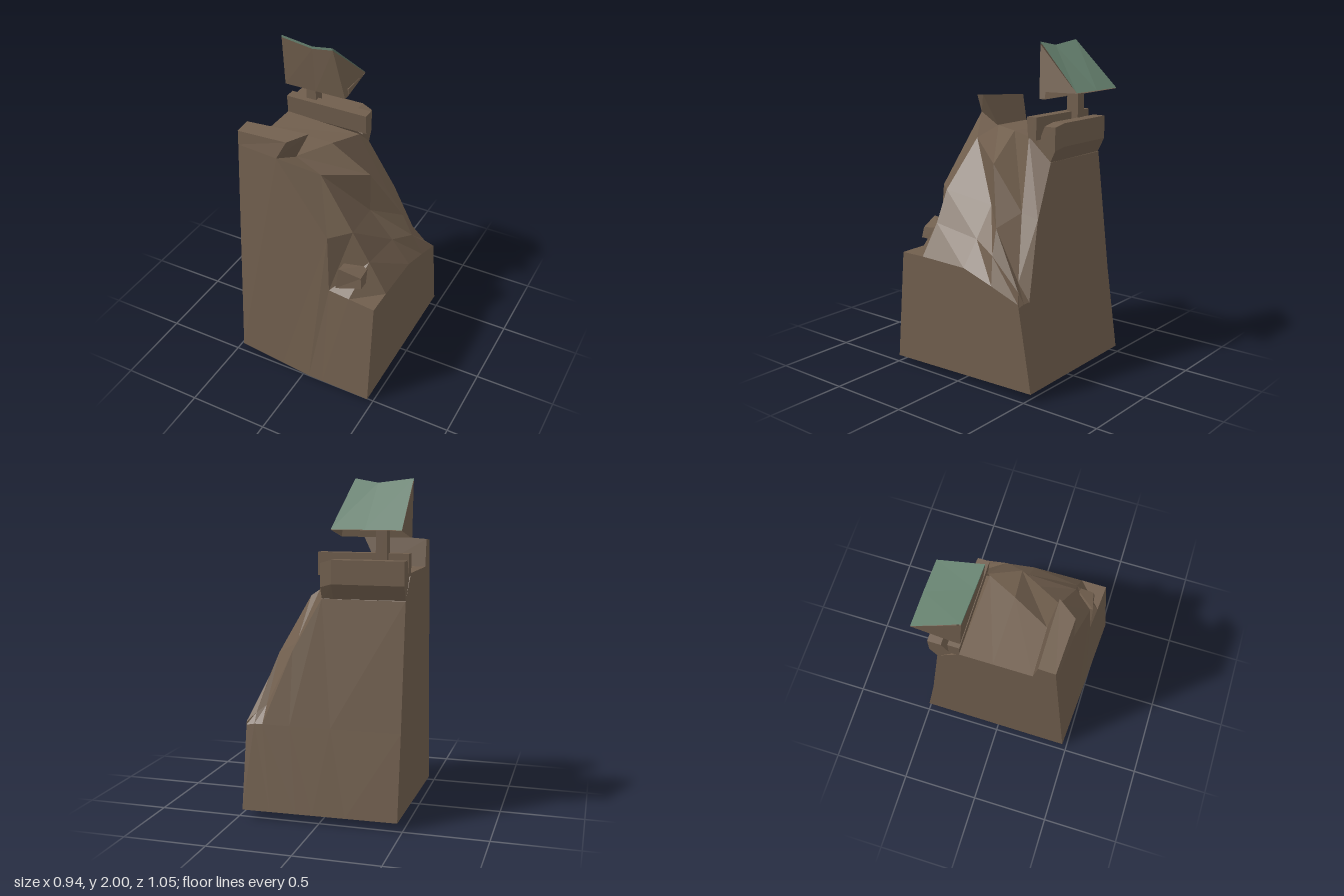
import * as THREE from 'three';

const rock = new THREE.MeshStandardMaterial({ color: 0x705e4d, flatShading: true, side: THREE.DoubleSide });
rock.name = 'rock brown';
const slate = new THREE.MeshStandardMaterial({ color: 0x66816f, flatShading: true, side: THREE.DoubleSide });
slate.name = 'roof green';

// Skins a row of cross-sections running from -x to +x.
// Each section lists its points from the front, over the top, to the back.
function loft(name, sections, material, { closed = false, caps = true } = {}) {
  const n = sections[0].length;
  const index = [];
  const last = (sections.length - 1) * n;
  for (let i = 0; i < sections.length - 1; i++) {
    for (let j = 0; j < (closed ? n : n - 1); j++) {
      const k = (j + 1) % n;
      const a = i * n + j, b = a + n, c = (i + 1) * n + k, d = i * n + k;
      index.push(a, b, c, a, c, d);
    }
  }
  if (caps) {
    for (let k = 1; k < n - 1; k++) {
      index.push(0, k, k + 1, last, last + k + 1, last + k);
    }
  }
  const indexed = new THREE.BufferGeometry();
  indexed.setAttribute('position', new THREE.Float32BufferAttribute(sections.flat(2), 3));
  indexed.setIndex(index);
  const geometry = indexed.toNonIndexed();
  geometry.computeVertexNormals();
  const mesh = new THREE.Mesh(geometry, material);
  mesh.name = name;
  return mesh;
}

function block(name, x0, x1, y0, y1, z0, z1) {
  const mesh = new THREE.Mesh(new THREE.BoxGeometry(x1 - x0, y1 - y0, z1 - z0), rock);
  mesh.position.set((x0 + x1) / 2, (y0 + y1) / 2, (z0 + z1) / 2);
  mesh.name = name;
  return mesh;
}

// Same profile of [y, z] points at a given x
const at = (x, profile) => profile.map(([y, z]) => [x, y, z]);

function buildCliff() {
  // Front rim, inner front, middle, inner back, back rim, back bend
  const upper = [
    [[-0.47, 1.53, 0.365], [-0.47, 1.46, 0.23], [-0.47, 1.46, 0], [-0.47, 1.46, -0.2], [-0.47, 1.31, -0.34], [-0.47, 0.56, -0.43]],
    [[-0.2, 1.53, 0.39], [-0.17, 1.46, 0.225], [-0.05, 1.46, 0], [0.04, 1.45, -0.18], [0.03, 1.31, -0.335], [-0.05, 0.56, -0.435]],
    [[0.14, 1.1, 0.42], [0.01, 1.4, 0.25], [0.19, 1.29, -0.03], [0.21, 1.03, -0.26], [0.2, 1.0, -0.37], [0.2, 0.56, -0.44]],
    [[0.16, 0.73, 0.44], [0.245, 1.1, 0.3], [0.2, 1.04, -0.02], [0.35, 0.95, -0.18], [0.37, 0.66, -0.36], [0.37, 0.56, -0.44]],
    [[0.3, 0.727, 0.453], [0.35, 0.91, 0.29], [0.35, 0.86, -0.03], [0.41, 0.8, -0.2], [0.42, 0.62, -0.4], [0.42, 0.56, -0.44]],
    [[0.47, 0.72, 0.465], [0.47, 0.72, 0.3], [0.47, 0.71, -0.03], [0.47, 0.64, -0.24], [0.47, 0.57, -0.435], [0.47, 0.55, -0.44]],
  ];
  // The open foot flares out and dips a little in the middle of the front
  const footX = [-0.47, -0.16, 0.04, 0.14, 0.3, 0.47];
  const sections = upper.map((points, i) => {
    const x = footX[i], t = x + 0.47;
    return [
      [x, 0.055 * Math.abs(x - 0.04), 0.47 + 0.058 * t],
      ...points,
      [x, 0.05, -0.505 - 0.025 * t],
    ];
  });
  return loft('cliff', sections, rock);
}

function buildRoof() {
  const roof = new THREE.Group();
  roof.name = 'roof';
  // Ridge and eave stations; the ridge sags in the middle
  const stations = [
    { low: -0.47, high: -0.47, y: 2.0, z: -0.155, eave: -0.46 },
    { low: -0.26, high: -0.26, y: 1.975, z: -0.15, eave: -0.457 },
    { low: -0.06, high: -0.12, y: 2.0, z: -0.14, eave: -0.45 },
  ];
  const lip = 0.015;
  roof.add(loft('roofBody', stations.map((s) => [
    [s.low, 1.715, s.eave], [s.low, 1.71, -0.225], [s.low, 1.665, -0.22],
    [s.low, 1.665, -0.18], [s.high, s.y - lip, s.z],
  ]), rock));
  roof.add(loft('roofSlope', stations.map((s) => [
    [s.high, s.y - lip, s.z], [s.high, s.y, s.z], [s.low, 1.718, s.eave],
  ]), slate, { caps: false }));
  return roof;
}

export function createModel() {
  const model = new THREE.Group();
  model.name = 'cliffLookout';
  model.add(buildCliff());

  // Raised lip along the front of the plateau
  model.add(loft('frontLip', [
    at(-0.47, [[1.53, 0.365], [1.62, 0.36], [1.63, 0.26], [1.45, 0.23]]),
    [[-0.2, 1.53, 0.39], [-0.14, 1.645, 0.375], [-0.06, 1.66, 0.26], [-0.17, 1.45, 0.225]],
  ], rock, { closed: true }));

  // Overhanging ledge along the back
  const ledge = [[1.43, -0.25], [1.54, -0.3], [1.54, -0.38], [1.4, -0.38], [1.31, -0.335]];
  model.add(loft('backLedge', [at(-0.47, ledge), at(-0.04, ledge), at(0.03, ledge.map(([y, z]) => [y - 0.02, z * 0.96]))],
    rock, { closed: true }));

  // Low wall in front of the ledge
  const wall = [[1.45, -0.2], [1.575, -0.19], [1.575, -0.26], [1.44, -0.26]];
  model.add(loft('parapet', [at(-0.47, wall), at(0.075, wall)], rock, { closed: true }));

  // Post carrying the roof
  model.add(block('post', -0.35, -0.285, 1.48, 1.715, -0.305, -0.225));
  model.add(buildRoof());

  // Small boulder stuck in the notch of the front face
  const front = [[0.2, 0.76, 0.435], [0.22, 0.91, 0.43], [0.22, 0.9, 0.28], [0.2, 0.76, 0.28]];
  const side = [[0.36, 0.8, 0.41], [0.35, 0.865, 0.4], [0.35, 0.88, 0.28], [0.36, 0.8, 0.28]];
  model.add(loft('boulder', [front, side], rock, { closed: true }));

  return model;
}
